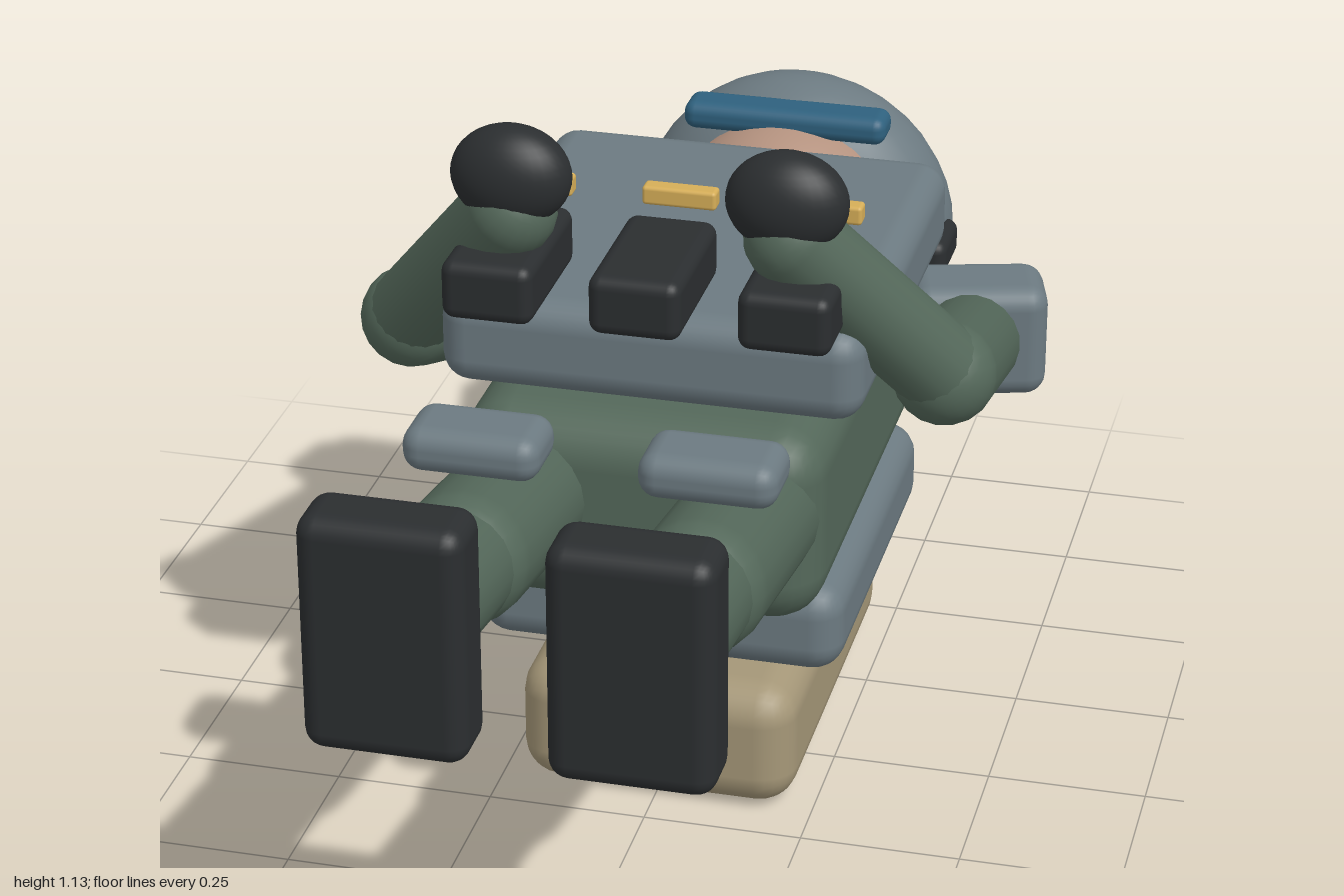
import * as THREE from 'three';
import { RoundedBoxGeometry } from 'three/addons/geometries/RoundedBoxGeometry.js';

const mat = (color) => new THREE.MeshStandardMaterial({ color });
const MATS = {
  armor: mat(0x6c7a81),
  cloth: mat(0x54685a),
  black: mat(0x2b2e30),
  tan: mat(0xa59778),
  skin: mat(0xb4927f),
  brass: mat(0xd6ae58),
  lens: mat(0x2f617e),
};

export function createModel() {
  const model = new THREE.Group();
  model.name = 'lyingSoldier';

  const add = (name, geometry, material, pos = [0, 0, 0]) => {
    const mesh = new THREE.Mesh(geometry, MATS[material]);
    mesh.name = name;
    mesh.position.set(...pos);
    model.add(mesh);
    return mesh;
  };

  const box = (name, material, size, radius, pos) =>
    add(name, new RoundedBoxGeometry(...size, 3, radius), material, pos);

  const ellipsoid = (name, material, radii, pos) =>
    add(name, new THREE.SphereGeometry(1, 32, 20).scale(...radii), material, pos);

  // Capsule whose two end spheres are centred on a and b
  const limb = (name, material, radius, a, b) => {
    const from = new THREE.Vector3(...a);
    const to = new THREE.Vector3(...b);
    const dir = to.clone().sub(from);
    const mesh = add(name, new THREE.CapsuleGeometry(radius, dir.length(), 8, 20), material);
    mesh.position.copy(from).add(to).multiplyScalar(0.5);
    mesh.quaternion.setFromUnitVectors(new THREE.Vector3(0, 1, 0), dir.normalize());
    return mesh;
  };

  // Trunk, armour plates and pack, stacked from the ground up
  box('backpack', 'tan', [0.44, 0.21, 0.69], 0.06, [0, 0.108, -0.148]);
  box('backPlate', 'armor', [0.58, 0.15, 0.635], 0.05, [0, 0.32, -0.14]);
  box('torso', 'cloth', [0.56, 0.32, 0.85], 0.08, [0, 0.55, -0.115]);
  box('chestPlate', 'armor', [0.65, 0.15, 0.7], 0.045, [0, 0.78, -0.122]);

  // Pouches with a brass bar beside each
  for (const x of [-0.224, 0, 0.224]) {
    box('pouch', 'black', [0.14, 0.094, 0.25], 0.02, [x, 0.9, 0.18]);
    box('brassBar', 'brass', [0.115, 0.03, 0.03], 0.006, [x, 0.96, 0.012]);
  }

  // Head, helmet and goggles
  ellipsoid('head', 'skin', [0.195, 0.19, 0.19], [0, 0.595, -0.711]);
  ellipsoid('helmet', 'armor', [0.27, 0.264, 0.18], [0, 0.565, -0.815]);
  box('goggles', 'lens', [0.345, 0.048, 0.076], 0.02, [0, 0.787, -0.727]);

  // Microphone boom on one side only
  limb('microphoneBoom', 'black', 0.011, [-0.252, 0.67, -0.8], [-0.142, 0.767, -0.555]);

  // Mirrored parts
  for (const s of [-1, 1]) {
    const side = s > 0 ? 'left' : 'right';

    box(side + 'Earpiece', 'black', [0.06, 0.065, 0.128], 0.02, [s * 0.252, 0.568, -0.749]);

    const pad = box(side + 'ShoulderPad', 'armor', [0.225, 0.19, 0.143], 0.035, [s * 0.378, 0.57, -0.444]);
    pad.rotation.y = s * 0.27;

    limb(side + 'UpperArm', 'cloth', 0.08, [s * 0.382, 0.575, -0.38], [s * 0.418, 0.73, 0.05]);
    limb(side + 'Forearm', 'cloth', 0.07, [s * 0.424, 0.73, 0.055], [s * 0.212, 0.995, 0.2]);
    ellipsoid(side + 'Hand', 'black', [0.092, 0.078, 0.061], [s * 0.208, 1.056, 0.208]);

    limb(side + 'Thigh', 'cloth', 0.1, [s * 0.174, 0.565, 0.25], [s * 0.174, 0.628, 0.6]);
    limb(side + 'Shin', 'cloth', 0.088, [s * 0.174, 0.63, 0.62], [s * 0.174, 0.675, 0.89]);
    box(side + 'KneePad', 'armor', [0.205, 0.07, 0.122], 0.03, [s * 0.174, 0.77, 0.515]);
    box(side + 'Boot', 'black', [0.236, 0.36, 0.11], 0.03, [s * 0.173, 0.7, 0.945]);
  }

  return model;
}
